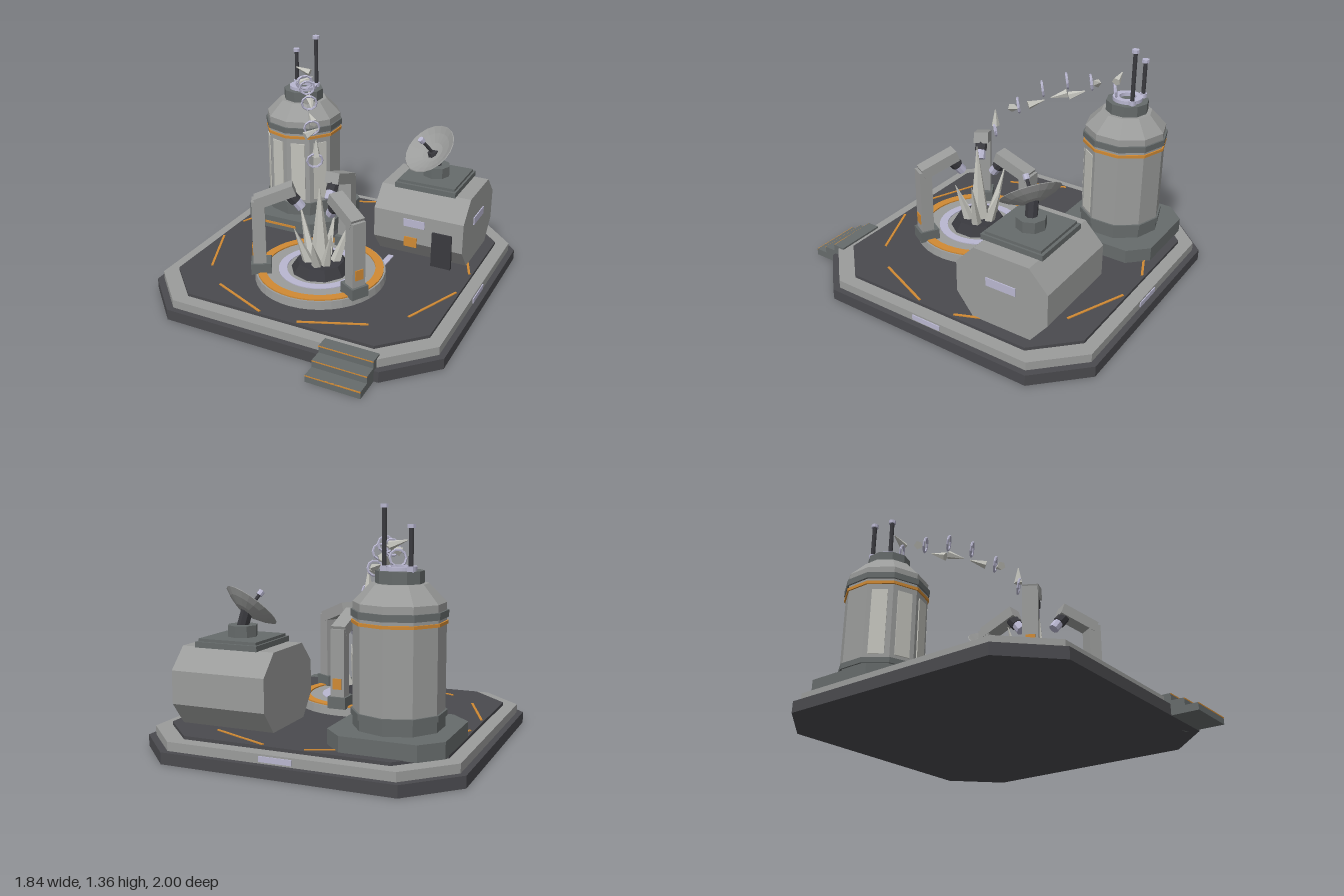
import * as THREE from 'three';

const mat = (name, color, side = THREE.FrontSide) =>
  new THREE.MeshStandardMaterial({ name, color, side, flatShading: true });

export function createModel() {
  const M = {
    dark: mat('charcoal', 0x4a4a4e),
    black: mat('near black', 0x3a3a3f),
    mid: mat('slate grey', 0x666b6b),
    light: mat('light grey', 0x9b9c9b, THREE.DoubleSide),
    pale: mat('pale grey', 0xc4c4bd),
    orange: mat('orange', 0xd08a34),
    lilac: mat('lilac', 0xb9b7d0),
  };
  const root = new THREE.Group();
  const V = (x, y, z) => new THREE.Vector3(x, y, z);

  // Helpers
  const add = (parent, name, geo, m, x = 0, y = 0, z = 0) => {
    const mesh = new THREE.Mesh(geo, m);
    mesh.name = name;
    mesh.position.set(x, y, z);
    parent.add(mesh);
    return mesh;
  };
  const group = (name, x, y, z, parent = root) => {
    const g = new THREE.Group();
    g.name = name;
    g.position.set(x, y, z);
    parent.add(g);
    return g;
  };
  const box = (p, name, m, w, h, d, x, y, z) =>
    add(p, name, new THREE.BoxGeometry(w, h, d), m, x, y, z);
  // cylinder given by its bottom and top heights
  const drum = (p, name, m, rBottom, rTop, y0, y1, sides) =>
    add(p, name, new THREE.CylinderGeometry(rTop, rBottom, y1 - y0, sides), m, 0, (y0 + y1) / 2, 0);
  const rod = (p, name, m, a, b, ra, rb, sides = 8) => {
    const d = b.clone().sub(a);
    const mesh = add(p, name, new THREE.CylinderGeometry(rb, ra, d.length(), sides), m);
    mesh.position.copy(a).add(b).multiplyScalar(0.5);
    mesh.quaternion.setFromUnitVectors(V(0, 1, 0), d.normalize());
    return mesh;
  };
  const polygon = pts => new THREE.Shape(pts.map(p => new THREE.Vector2(...p)));
  // square slab with cut corners
  const slab = (p, name, m, h, cut, y0, y1) => {
    const c = h - cut;
    const s = polygon([[h, -c], [h, c], [c, h], [-c, h], [-h, c], [-h, -c], [-c, -h], [c, -h]]);
    const g = new THREE.ExtrudeGeometry(s, { depth: y1 - y0, bevelEnabled: false });
    return add(p, name, g.rotateX(-Math.PI / 2), m, 0, y0, 0);
  };
  const flatRing = (p, name, m, rIn, rOut, y0, y1) => {
    const pts = [[rIn, y0], [rOut, y0], [rOut, y1], [rIn, y1], [rIn, y0]];
    return add(p, name, new THREE.LatheGeometry(pts.map(q => new THREE.Vector2(...q)), 40), m);
  };

  // Base
  const base = group('base', 0, 0, -0.08);
  slab(base, 'foundation', M.dark, 0.92, 0.26, 0, 0.065);
  slab(base, 'rim', M.light, 0.885, 0.245, 0.065, 0.115);
  slab(base, 'deck', M.dark, 0.81, 0.225, 0.115, 0.133);
  box(base, 'rimLightRight', M.lilac, 0.008, 0.03, 0.185, 0.887, 0.09, 0);
  box(base, 'rimLightBack', M.lilac, 0.185, 0.03, 0.008, 0, 0.09, -0.887);
  for (let i = 0; i < 8; i++) {
    const a = (i + 0.5) * Math.PI / 4;
    const s = box(base, 'deckStripe', M.orange, 0.39, 0.006, 0.014,
      0.777 * Math.sin(a), 0.135, 0.777 * Math.cos(a));
    s.rotation.y = a;
  }

  // Front steps
  const steps = group('steps', 0.477, 0, 0);
  for (let i = 0; i < 3; i++) {
    const h = 0.042 * (i + 1), front = 1 - 0.077 * i;
    box(steps, 'step', M.mid, 0.315, h, 0.077, 0, h / 2, front - 0.0385);
    box(steps, 'stepEdge', M.orange, 0.315, 0.007, 0.004, 0, h - 0.0035, front - 0.001);
  }

  // Silo
  const silo = group('silo', -0.495, 0, -0.525);
  slab(silo, 'siloPlinth', M.mid, 0.316, 0.11, 0.13, 0.217);
  box(silo, 'plinthStripe', M.orange, 0.235, 0.015, 0.008, -0.02, 0.172, 0.317);
  drum(silo, 'siloFoot', M.mid, 0.242, 0.242, 0.217, 0.275, 10);
  drum(silo, 'lowerRing', M.mid, 0.252, 0.252, 0.275, 0.307, 10);
  drum(silo, 'siloBody', M.light, 0.241, 0.241, 0.307, 0.865, 10);
  drum(silo, 'orangeBand', M.orange, 0.25, 0.25, 0.755, 0.772, 10);
  drum(silo, 'upperRing', M.mid, 0.252, 0.252, 0.79, 0.826, 10);
  drum(silo, 'shoulder', M.light, 0.241, 0.15, 0.865, 0.96, 10);
  drum(silo, 'cap', M.mid, 0.126, 0.126, 0.955, 1.024, 10);
  flatRing(silo, 'capRing', M.lilac, 0.05, 0.088, 1.02, 1.045);
  for (const k of [-1.5, -0.5, 0.5, 1.5]) {
    const a = k * Math.PI / 5;
    const p = box(silo, 'sidePanel', M.pale, 0.09, 0.39, 0.009,
      0.231 * Math.sin(a), 0.525, 0.231 * Math.cos(a));
    p.rotation.y = a;
  }
  for (const [x, top] of [[-0.08, 1.26], [0.063, 1.36]]) {
    const mast = group('mast', x, 0, -0.06, silo);
    drum(mast, 'mastPole', M.black, 0.013, 0.013, 1.02, top - 0.015, 8);
    drum(mast, 'mastFoot', M.lilac, 0.022, 0.022, 1.02, 1.05, 8);
    drum(mast, 'mastTip', M.lilac, 0.022, 0.022, top - 0.02, top, 8);
  }

  // Habitat with an eight-sided end profile
  const hab = group('habitat', 0.457, 0, -0.472);
  const profile = polygon([[-0.18, 0.13], [0.18, 0.13], [0.285, 0.262], [0.285, 0.45],
    [0.17, 0.57], [-0.17, 0.57], [-0.285, 0.45], [-0.285, 0.262]]);
  const hull = new THREE.ExtrudeGeometry(profile, { depth: 0.57, bevelEnabled: false });
  add(hab, 'hull', hull.translate(0, 0, -0.285).rotateY(Math.PI / 2), M.light);
  box(hab, 'roofSlab', M.mid, 0.385, 0.032, 0.385, 0, 0.585, 0);
  box(hab, 'roofSlabTop', M.mid, 0.36, 0.018, 0.35, 0, 0.608, 0);
  box(hab, 'frontWindow', M.lilac, 0.135, 0.048, 0.009, -0.023, 0.395, 0.287);
  box(hab, 'sideWindow', M.lilac, 0.009, 0.048, 0.185, 0.287, 0.395, 0);
  box(hab, 'hatchPanel', M.orange, 0.082, 0.063, 0.009, -0.043, 0.269, 0.288);
  box(hab, 'door', M.black, 0.125, 0.225, 0.02, 0.157, 0.253, 0.285);

  // Dish antenna on the roof
  drum(hab, 'dishPedestal', M.mid, 0.085, 0.085, 0.617, 0.682, 8);
  rod(hab, 'dishBracket', M.black, V(0, 0.67, 0), V(-0.025, 0.765, 0.01), 0.035, 0.035);
  const dish = group('dish', -0.025, 0.757, 0.008, hab);
  dish.quaternion.setFromUnitVectors(V(0, 1, 0), V(-0.37, 0.74, 0.56).normalize());
  const bowl = [[0.001, -0.015], [0.07, -0.005], [0.13, 0.018], [0.172, 0.042], [0.168, 0.046],
    [0.128, 0.025], [0.07, 0.004], [0.001, -0.004]].map(p => new THREE.Vector2(...p));
  add(dish, 'bowl', new THREE.LatheGeometry(bowl, 20), M.light);
  rod(dish, 'feedMast', M.black, V(0, -0.005, 0), V(0, 0.12, 0), 0.01, 0.01);
  rod(dish, 'feedTip', M.lilac, V(0, 0.115, 0), V(0, 0.145, 0), 0.018, 0.018);

  // Round crystal platform
  const platform = group('platform', 0, 0, 0.2);
  drum(platform, 'platformDisc', M.light, 0.39, 0.385, 0.13, 0.182, 40);
  flatRing(platform, 'orangeRing', M.orange, 0.325, 0.375, 0.178, 0.19);
  flatRing(platform, 'glowRing', M.lilac, 0.2, 0.25, 0.178, 0.187);
  drum(platform, 'crystalPedestal', M.black, 0.178, 0.14, 0.18, 0.24, 10);
  box(root, 'powerStrip', M.lilac, 0.036, 0.008, 0.34, 0.284, 0.136, -0.03);

  // Crystals: a tall one with a splayed ring around it
  rod(platform, 'mainCrystal', M.pale, V(0, 0.22, 0), V(0, 0.715, 0.01), 0.065, 0.002, 6);
  const spikes = [[0.175, 0.533, -0.075], [-0.175, 0.533, -0.075], [0.115, 0.47, 0.09],
    [-0.12, 0.46, 0.1], [0.01, 0.47, -0.165], [0.03, 0.42, 0.16]];
  for (const [x, y, z] of spikes) {
    rod(platform, 'crystal', M.pale, V(x * 0.45, 0.22, z * 0.45), V(x, y, z), 0.036, 0.002, 5);
  }

  // Three emitter arms, each built facing outward along +z
  for (const a of [Math.PI, Math.PI / 3, -Math.PI / 3]) {
    const arm = group('emitterArm', 0, 0, 0, platform);
    arm.rotation.y = a;
    box(arm, 'armFoot', M.mid, 0.11, 0.068, 0.12, 0, 0.212, 0.35);
    box(arm, 'armPost', M.light, 0.085, 0.42, 0.075, 0, 0.43, 0.357);
    box(arm, 'postPanel', M.orange, 0.052, 0.063, 0.008, 0, 0.322, 0.396);
    box(arm, 'armBeam', M.light, 0.088, 0.066, 0.235, 0, 0.665, 0.26).rotation.x = 0.35;
    rod(arm, 'emitterNeck', M.black, V(0, 0.68, 0.185), V(0, 0.625, 0.14), 0.036, 0.036);
    rod(arm, 'emitterHead', M.lilac, V(0, 0.63, 0.143), V(0, 0.582, 0.108), 0.03, 0.03);
  }

  // Floating arc of rings and shards
  const arc = group('energyArc', 0, 0, 0);
  const path = [[-0.46, 1.08, -0.458], [-0.383, 1.126, -0.34], [-0.305, 1.135, -0.222],
    [-0.228, 1.085, -0.104], [-0.15, 0.98, 0.013], [-0.072, 0.83, 0.126]];
  for (const p of path) {
    const ring = add(arc, 'arcRing', new THREE.TorusGeometry(0.044, 0.007, 5, 10), M.lilac, ...p);
    ring.quaternion.setFromUnitVectors(V(0, 0, 1), V(0.55, -0.15, 0.8).normalize());
  }
  // each shard: centre, then pointing direction
  const shards = [[-0.47, 1.16, -0.475, -1, 0.3, 0.1], [-0.4, 1.125, -0.38, 0.7, 0.4, -0.6],
    [-0.33, 1.06, -0.28, -0.3, 0.4, -0.9], [-0.265, 1.05, -0.195, 0.5, -0.3, 0.8],
    [-0.2, 1.0, -0.08, -0.8, 0.3, -0.8], [-0.14, 0.96, 0.03, 0.5, 0.3, -0.8],
    [-0.066, 0.905, 0.12, 0, 1, 0]];
  for (const [x, y, z, dx, dy, dz] of shards) {
    const c = V(x, y, z), d = V(dx, dy, dz).setLength(0.05);
    rod(arc, 'shard', M.pale, c.clone().sub(d), c.clone().add(d), 0.026, 0.003, 5);
  }
  return root;
}
